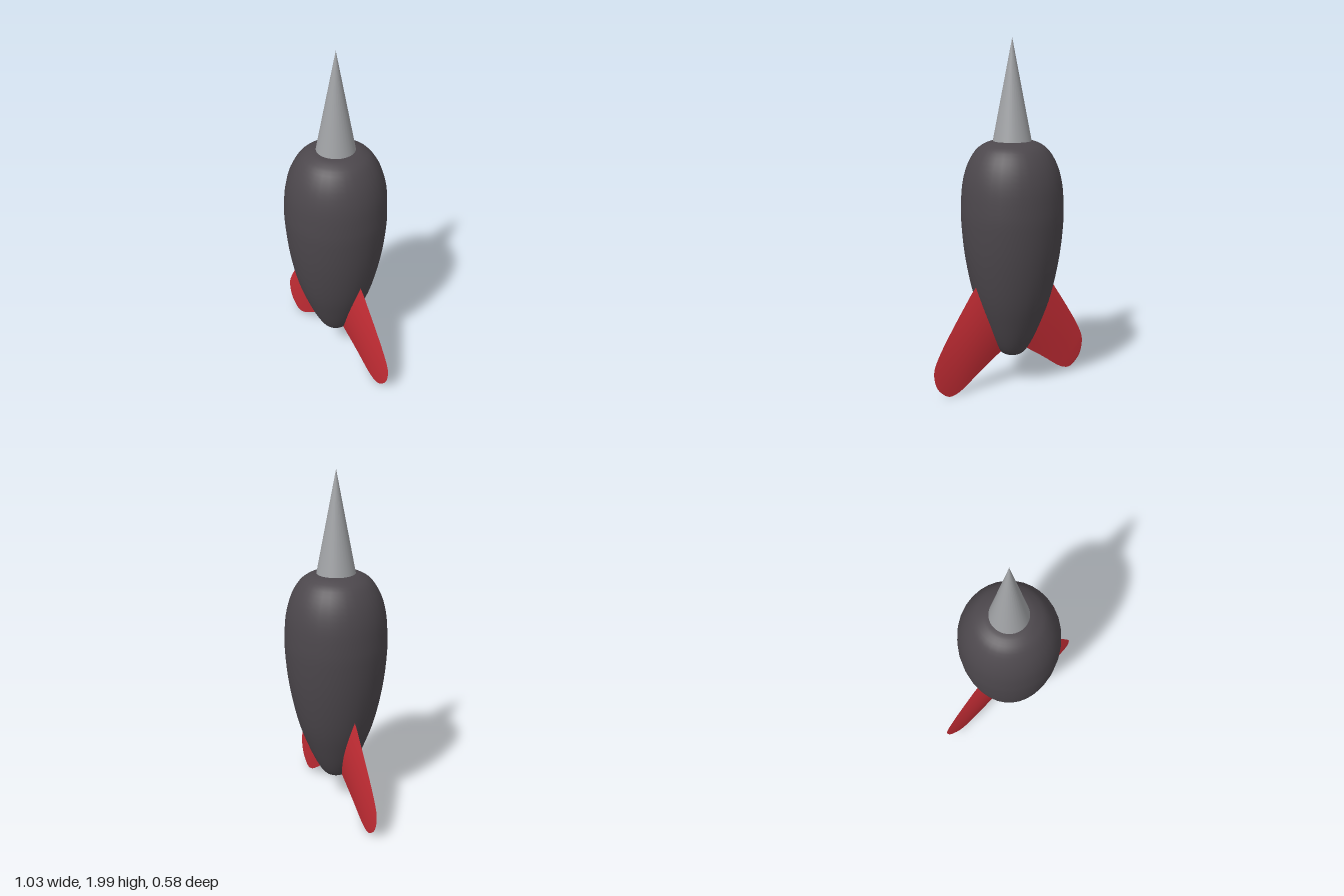
import * as THREE from 'three';

const mat = (name, color) => {
  const m = new THREE.MeshStandardMaterial({ color });
  m.name = name;
  return m;
};
const spline = (pts) => new THREE.SplineCurve(pts.map(([x, y]) => new THREE.Vector2(x, y)));

// Fin stations from root to tip: leading edge x, y, trailing edge x, y, half thickness
const STATIONS = [
  [0.12, 0.72, 0.03, 0.24, 0.033],
  [0.24, 0.625, 0.12, 0.182, 0.028],
  [0.32, 0.515, 0.22, 0.115, 0.021],
  [0.40, 0.395, 0.30, 0.056, 0.014],
  [0.465, 0.29, 0.35, 0.024, 0.009],
  [0.505, 0.21, 0.385, 0.01, 0.006],
  [0.515, 0.165, 0.412, 0.006, 0.004],
  [0.511, 0.115, 0.44, 0.015, 0.0025],
  [0.497, 0.075, 0.465, 0.035, 0.001],
  [0.483, 0.053, 0.483, 0.053, 0],
];

// Lens-section fin: one curved sheet for each side, sharp at the edges
function finGeometry(rows = 27, cols = 10) {
  const lead = spline(STATIONS.map((s) => [s[0], s[1]]));
  const trail = spline(STATIONS.map((s) => [s[2], s[3]]));
  const thick = spline(STATIONS.map((s, i) => [i, s[4]]));
  const pos = [], idx = [];
  for (const side of [1, -1]) {
    const base = pos.length / 3;
    for (let i = 0; i <= rows; i++) {
      const a = lead.getPoint(i / rows), b = trail.getPoint(i / rows);
      const t = Math.max(0, thick.getPoint(i / rows).y);
      for (let j = 0; j <= cols; j++) {
        const u = j / cols;
        pos.push(a.x + (b.x - a.x) * u, a.y + (b.y - a.y) * u, side * t * 4 * u * (1 - u));
      }
    }
    for (let i = 0; i < rows; i++) {
      for (let j = 0; j < cols; j++) {
        const a = base + i * (cols + 1) + j, b = a + 1, c = a + cols + 1, d = c + 1;
        if (side > 0) idx.push(a, b, c, b, d, c);
        else idx.push(a, c, b, b, c, d);
      }
    }
  }
  const g = new THREE.BufferGeometry();
  g.setAttribute('position', new THREE.Float32BufferAttribute(pos, 3));
  g.setIndex(idx);
  g.computeVertexNormals();
  return g;
}

export function createModel() {
  const group = new THREE.Group();
  const charcoal = mat('charcoal', 0x4c474c);
  const silver = mat('silver', 0xa0a2a5);
  const red = mat('red', 0xc62d35);
  const add = (name, geometry, material) => {
    const mesh = new THREE.Mesh(geometry, material);
    mesh.name = name;
    group.add(mesh);
    return mesh;
  };

  // Teardrop body
  const profile = spline([
    [0, 0.178], [0.04, 0.184], [0.08, 0.212], [0.125, 0.29], [0.172, 0.4], [0.215, 0.52],
    [0.25, 0.66], [0.277, 0.82], [0.291, 0.98], [0.291, 1.08], [0.281, 1.2],
    [0.252, 1.305], [0.205, 1.385], [0.155, 1.422], [0.105, 1.437], [0, 1.442],
  ]);
  add('body', new THREE.LatheGeometry(profile.getPoints(45), 32), charcoal);

  // Pointed nose
  const nose = add('noseCone', new THREE.ConeGeometry(0.109, 0.565, 32), silver);
  nose.position.y = 1.435 + 0.565 / 2;

  // Two swept fins, the second turned half way round
  const fin = finGeometry();
  add('leftFin', fin, red);
  add('rightFin', fin, red).rotation.y = Math.PI;

  return group;
}
